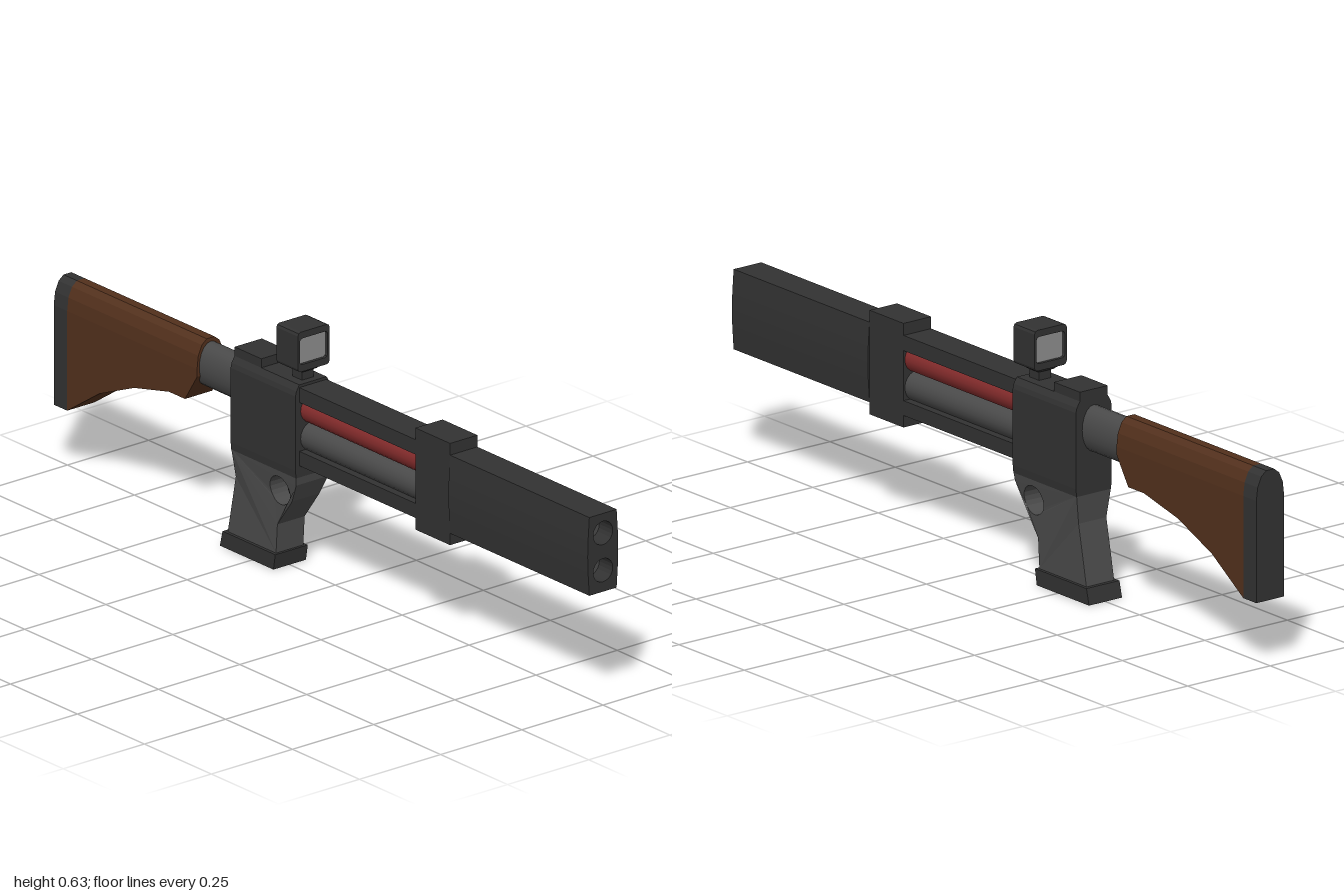
import * as THREE from 'three';

const DARK = 0x323232, GREY = 0x4a4a4a, WOOD = 0x52301c, RED = 0x852c2c, GLASS = 0x8c8c8c;

export function createModel() {
  const root = new THREE.Group();

  const add = (name, geometry, color, flat = true) => {
    const material = new THREE.MeshStandardMaterial({ color, flatShading: flat });
    const mesh = new THREE.Mesh(geometry, material);
    mesh.name = name;
    root.add(mesh);
    return mesh;
  };
  const shapeOf = (pts) => new THREE.Shape(pts.map(([a, b]) => new THREE.Vector2(a, b)));
  const circle = (x, y, r, n = 20) => new THREE.Path(
    Array.from({ length: n }, (_, i) => {
      const a = -i / n * Math.PI * 2;
      return new THREE.Vector2(x + r * Math.cos(a), y + r * Math.sin(a));
    }));
  // half section [z, y] from bottom to top, mirrored to a closed outline
  const mirrored = (half) => [...half, ...half.slice().reverse().map(([z, y]) => [-z, y])];
  // section in z/y pushed along x
  const extrudeX = (shape, x0, x1) =>
    new THREE.ExtrudeGeometry(shape, { depth: x1 - x0, bevelEnabled: false })
      .rotateY(Math.PI / 2).translate(x0, 0, 0);
  // outline in x/y pushed along z, centred
  const extrudeZ = (shape, w) =>
    new THREE.ExtrudeGeometry(shape, { depth: 2 * w, bevelEnabled: false }).translate(0, 0, -w);
  const box = (name, x0, x1, y0, y1, w, color) =>
    add(name, new THREE.BoxGeometry(x1 - x0, y1 - y0, 2 * w)
      .translate((x0 + x1) / 2, (y0 + y1) / 2, 0), color);
  const tube = (name, x0, x1, y, ry, rz, color) =>
    add(name, new THREE.CylinderGeometry(1, 1, x1 - x0, 20).rotateZ(Math.PI / 2)
      .scale(1, ry, rz).translate((x0 + x1) / 2, y, 0), color, false);
  // skin over matching convex sections placed at rising x
  const loft = (stations) => {
    const pos = [];
    const n = stations[0].pts.length;
    const put = (s, i) => pos.push(s.x, s.pts[i % n][1], s.pts[i % n][0]);
    for (let k = 0; k + 1 < stations.length; k++) {
      const a = stations[k], b = stations[k + 1];
      for (let i = 0; i < n; i++) {
        put(a, i); put(a, i + 1); put(b, i);
        put(b, i); put(a, i + 1); put(b, i + 1);
      }
    }
    const last = stations[stations.length - 1];
    for (let i = 1; i + 1 < n; i++) {
      put(stations[0], 0); put(stations[0], i + 1); put(stations[0], i);
      put(last, 0); put(last, i); put(last, i + 1);
    }
    const g = new THREE.BufferGeometry();
    g.setAttribute('position', new THREE.Float32BufferAttribute(pos, 3));
    g.computeVertexNormals();
    return g;
  };

  // Shoulder stock and its pad share a round-topped section
  const stockSection = (bottom) => mirrored([
    [0.042, bottom], [0.042, 0.42], [0.038, 0.453], [0.027, 0.478], [0.012, 0.49],
  ]).reverse();
  const stations = [[-0.95, 0.165], [-0.83, 0.245], [-0.70, 0.30], [-0.57, 0.33], [-0.51, 0.33], [-0.465, 0.40]];
  add('stock', loft(stations.map(([x, b]) => ({ x, pts: stockSection(b) }))), WOOD);
  add('buttPad', loft([-1, -0.95].map((x) => ({ x, pts: stockSection(0.165) }))), DARK);
  tube('stockTube', -0.48, -0.32, 0.423, 0.058, 0.035, GREY);

  // Receiver with chamfered edges
  add('receiver', extrudeX(shapeOf(mirrored([
    [0.052, 0.26], [0.054, 0.28], [0.054, 0.47], [0.051, 0.482], [0.042, 0.497],
  ])), -0.325, -0.083), DARK);
  box('rearSight', -0.325, -0.225, 0.49, 0.52, 0.042, DARK);

  // Grip, narrowing below the receiver, pierced for the trigger
  const gripShape = shapeOf([
    [-0.35, 0.04], [-0.17, 0.04], [-0.165, 0.115], [-0.11, 0.19],
    [-0.086, 0.24], [-0.083, 0.262], [-0.325, 0.262], [-0.32, 0.19],
  ]);
  gripShape.holes.push(circle(-0.152, 0.207, 0.037));
  const grip = extrudeZ(gripShape, 1);
  const p = grip.attributes.position;
  for (let i = 0; i < p.count; i++) {
    const t = THREE.MathUtils.clamp((p.getY(i) - 0.19) / 0.07, 0, 1);
    p.setZ(i, Math.sign(p.getZ(i)) * (0.042 + 0.01 * t));
  }
  add('grip', grip, GREY);
  const triggerCurve = new THREE.CatmullRomCurve3([
    new THREE.Vector3(-0.17, 0.245, 0), new THREE.Vector3(-0.168, 0.215, 0),
    new THREE.Vector3(-0.165, 0.195, 0), new THREE.Vector3(-0.152, 0.178, 0),
  ]);
  add('trigger', new THREE.TubeGeometry(triggerCurve, 10, 0.007, 8), DARK, false);
  add('gripBase', extrudeZ(shapeOf([
    [-0.37, 0], [-0.17, 0], [-0.163, 0.04], [-0.36, 0.04],
  ]), 0.05), DARK);

  // Fore-end: two tubes between an upper and a lower rail
  box('upperRail', -0.09, 0.48, 0.452, 0.49, 0.042, DARK);
  box('lowerRail', -0.09, 0.48, 0.29, 0.327, 0.042, DARK);
  tube('redTube', -0.09, 0.48, 0.428, 0.036, 0.038, RED);
  tube('lowerTube', -0.09, 0.48, 0.358, 0.038, 0.038, GREY);
  box('frontBand', 0.35, 0.48, 0.26, 0.52, 0.042, DARK);

  // Muzzle block with two bores
  const muzzleShape = shapeOf(mirrored([
    [0.042, 0.29], [0.046, 0.35], [0.047, 0.39], [0.046, 0.43], [0.042, 0.49],
  ]));
  const bores = [0.44, 0.345];
  for (const y of bores) muzzleShape.holes.push(circle(0, y, 0.03));
  add('muzzleBlock', extrudeX(muzzleShape, 0.48, 1), DARK);
  for (const y of bores) tube('boreFloor', 0.48, 0.95, y, 0.03, 0.03, GREY);

  // Square optic on a short neck
  const roundRect = (y0, y1, w, c) => mirrored([
    [w - c, y0], [w - c * 0.3, y0 + c * 0.3], [w, y0 + c], [w, y1 - c], [w - c * 0.3, y1 - c * 0.3], [w - c, y1],
  ]);
  const opticShape = shapeOf(roundRect(0.53, 0.632, 0.049, 0.009));
  opticShape.holes.push(new THREE.Path(shapeOf(roundRect(0.548, 0.615, 0.043, 0.008)).getPoints()));
  add('opticFrame', extrudeX(opticShape, -0.16, -0.08), DARK);
  add('opticGlass', extrudeX(shapeOf(roundRect(0.548, 0.615, 0.043, 0.008)), -0.152, -0.088), GLASS);
  const neckPart = (name, top, bottom, y0, y1) =>
    add(name, new THREE.CylinderGeometry(top * Math.SQRT2, bottom * Math.SQRT2, y1 - y0, 4)
      .rotateY(Math.PI / 4).translate(-0.12, (y0 + y1) / 2, 0), DARK);
  neckPart('opticFoot', 0.036, 0.022, 0.519, 0.531);
  neckPart('opticNeck', 0.018, 0.018, 0.49, 0.521);

  return root;
}
